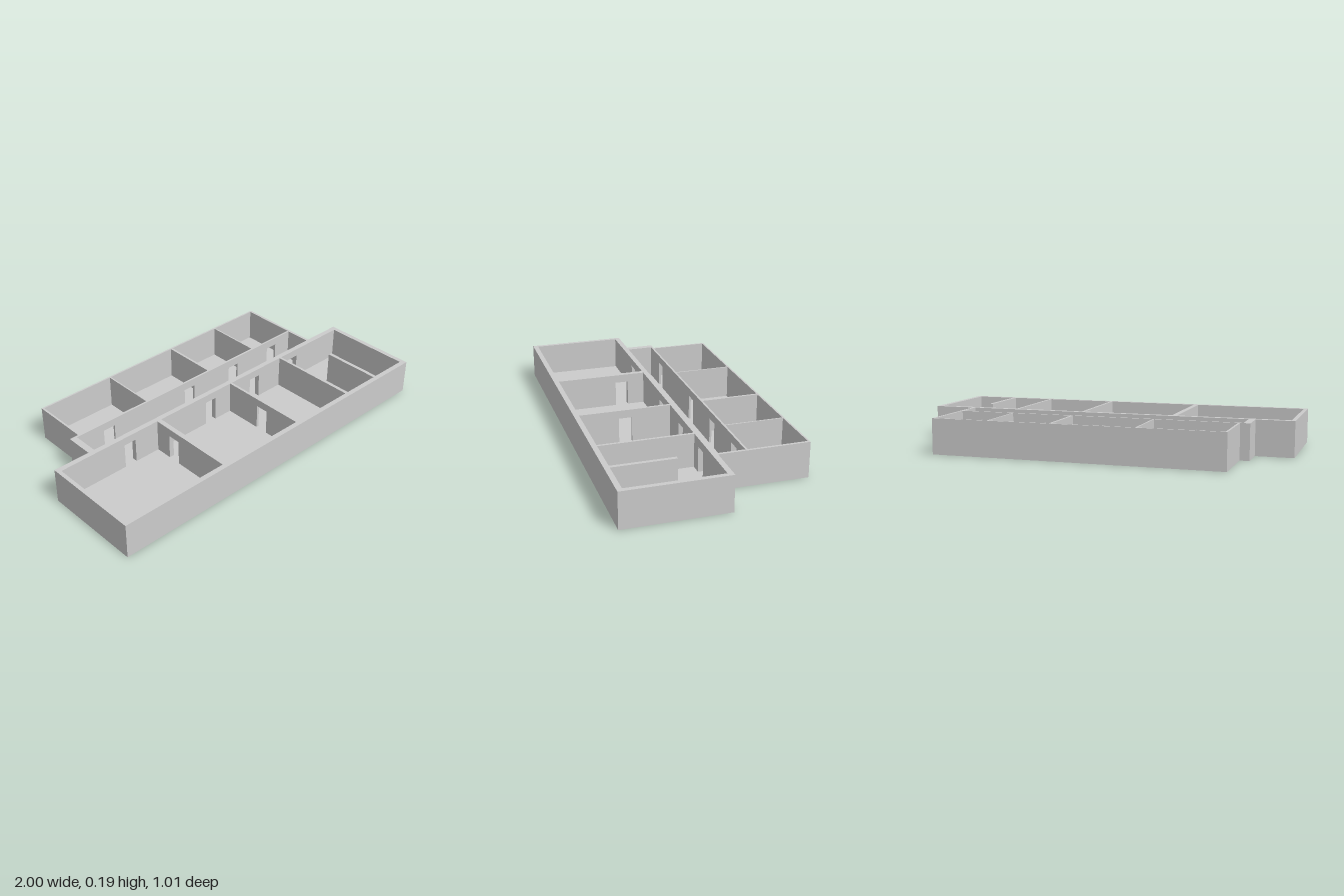
import * as THREE from 'three';

const HEIGHT = 0.188, FLOOR = 0.01, DOOR_TOP = 0.145, DOOR_WIDTH = 0.07;

export function createModel() {
  const model = new THREE.Group();
  const material = new THREE.MeshStandardMaterial({ color: 0xcccccc, flatShading: true });

  // Upright wall over a plan rectangle; doors are centre positions along its long side
  function wall(name, x0, x1, z0, z1, doors = []) {
    const alongX = x1 - x0 > z1 - z0;
    const start = alongX ? x0 : z0;
    const length = alongX ? x1 - x0 : z1 - z0;
    const depth = alongX ? z1 - z0 : x1 - x0;
    const h = HEIGHT - FLOOR, top = DOOR_TOP - FLOOR;
    const shape = new THREE.Shape();
    shape.moveTo(0, 0);
    for (const door of doors) {
      const a = door - start - DOOR_WIDTH / 2, b = a + DOOR_WIDTH;
      shape.lineTo(a, 0);
      shape.lineTo(a, top);
      shape.lineTo(b, top);
      shape.lineTo(b, 0);
    }
    shape.lineTo(length, 0);
    shape.lineTo(length, h);
    shape.lineTo(0, h);
    shape.closePath();
    const mesh = new THREE.Mesh(new THREE.ExtrudeGeometry(shape, { depth, bevelEnabled: false }), material);
    mesh.name = name;
    mesh.position.set(alongX ? x0 : x1, FLOOR, z0);
    if (!alongX) mesh.rotation.y = -Math.PI / 2;
    model.add(mesh);
  }

  // Floor slab following the stepped footprint
  const outline = [
    [-1, 0.505], [-1, -0.035], [-0.8, -0.035], [-0.8, -0.187], [-0.75, -0.187],
    [-0.75, -0.505], [0.78, -0.505], [0.78, -0.035], [1, -0.035], [1, 0.505],
  ].map(([x, z]) => new THREE.Vector2(x, -z));
  const slab = new THREE.ExtrudeGeometry(new THREE.Shape(outline), { depth: FLOOR, bevelEnabled: false });
  slab.rotateX(-Math.PI / 2);
  const floor = new THREE.Mesh(slab, material);
  floor.name = 'floor';
  model.add(floor);

  const corridorDoors = [-0.565, -0.015, 0.315, 0.62];

  // Front block
  wall('frontWall', -1, 1, 0.478, 0.505);
  wall('corridorFrontWall', -1, 1, -0.035, -0.007, corridorDoors);
  wall('frontEndWallRight', -1, -0.979, -0.007, 0.478);
  wall('frontEndWallLeft', 0.975, 1, -0.007, 0.478);
  wall('frontPartition1', -0.385, -0.358, -0.007, 0.478, [0.12]);
  wall('frontPartition2', 0.129, 0.143, -0.007, 0.478, [0.235]);
  wall('frontPartition3', 0.512, 0.526, -0.007, 0.478);
  wall('frontScreenWall', 0.745, 0.765, 0.155, 0.478);

  // Corridor
  wall('corridorBackWall', -0.8, 0.78, -0.187, -0.176, corridorDoors);
  wall('corridorEndWallRight', -0.8, -0.765, -0.176, -0.035);
  wall('corridorEndWallLeft', 0.765, 0.78, -0.176, -0.035);

  // Back block
  wall('backWall', -0.75, 0.78, -0.505, -0.496);
  wall('backEndWallRight', -0.75, -0.739, -0.496, -0.187);
  wall('backEndWallLeft', 0.766, 0.78, -0.496, -0.187);
  [[-0.31, -0.302], [0.129, 0.142], [0.468, 0.476]].forEach(([x0, x1], i) =>
    wall(`backPartition${i + 1}`, x0, x1, -0.496, -0.187));

  return model;
}
